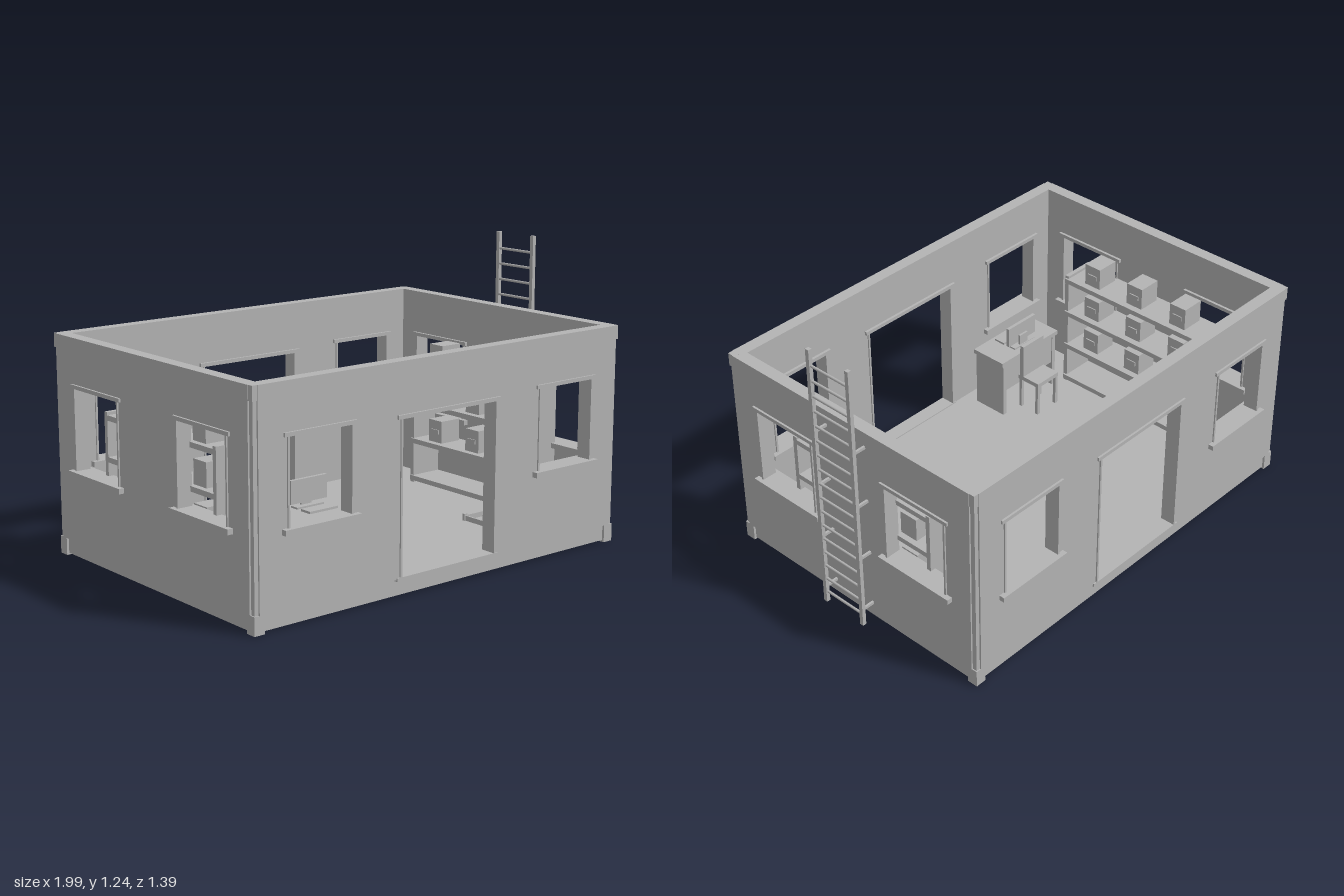
import * as THREE from 'three';

const grey = new THREE.MeshStandardMaterial({ color: 0xb3b3b3 });
grey.name = 'plain grey';

// Box given by its limits on each axis
function box(parent, name, x0, x1, y0, y1, z0, z1) {
  const mesh = new THREE.Mesh(new THREE.BoxGeometry(x1 - x0, y1 - y0, z1 - z0), grey);
  mesh.position.set((x0 + x1) / 2, (y0 + y1) / 2, (z0 + z1) / 2);
  mesh.name = name;
  parent.add(mesh);
  return mesh;
}

function group(parent, name) {
  const g = new THREE.Group();
  g.name = name;
  parent.add(g);
  return g;
}

const FLOOR = 0.075, TOP = 0.93, THICK = 0.055;
const HALF_X = 0.95, HALF_Z = 0.672;

// Wall in its own plane: z = 0 is the inner face, z = THICK the outer face
function wall(parent, name, half, openings) {
  const g = group(parent, name);
  const shape = new THREE.Shape();
  shape.moveTo(-half, FLOOR);
  shape.lineTo(half, FLOOR);
  shape.lineTo(half, TOP);
  shape.lineTo(-half, TOP);
  shape.closePath();
  for (const o of openings) {
    const hole = new THREE.Path();
    hole.moveTo(o.c - o.w, o.y0);
    hole.lineTo(o.c - o.w, o.y1);
    hole.lineTo(o.c + o.w, o.y1);
    hole.lineTo(o.c + o.w, o.y0);
    hole.closePath();
    shape.holes.push(hole);
  }
  const panel = new THREE.Mesh(
    new THREE.ExtrudeGeometry(shape, { depth: THICK, bevelEnabled: false }), grey);
  panel.name = 'wallPanel';
  g.add(panel);

  for (const o of openings) {
    const l = o.c - o.w, r = o.c + o.w;
    const out = THICK + 0.006;
    // Lintel, jambs and sill of each opening
    box(g, 'lintel', l - 0.018, r + 0.018, o.y1 - 0.004, o.y1 + 0.012, -0.012, THICK + 0.009);
    box(g, 'jamb', l - 0.003, l + 0.006, o.y0, o.y1, -0.006, out);
    box(g, 'jamb', r - 0.006, r + 0.003, o.y0, o.y1, -0.006, out);
    if (o.door) box(g, 'threshold', l - 0.018, r + 0.018, 0.068, 0.083, -0.006, out);
    else box(g, 'sill', l - 0.028, r + 0.028, o.y0 - 0.02, o.y0 + 0.002, -0.022, THICK + 0.024);
  }
  return g;
}

const win = (c, w) => ({ c, w, y0: 0.38, y1: 0.728 });

function shelfUnit(parent, name, side) {
  const g = group(parent, name);
  const X = (d) => side * (0.897 - d);   // distance from the inner wall face
  const sbox = (n, a, b, ...rest) => box(g, n, Math.min(X(a), X(b)), Math.max(X(a), X(b)), ...rest);
  for (const s of [-1, 1]) {
    const z = -0.005 + s * 0.37;
    sbox('endPanel', 0, 0.155, FLOOR, 0.645, z - 0.01, z + 0.01);
  }
  for (const y of [0.1, 0.275, 0.45, 0.622]) {
    sbox('shelfBoard', 0, 0.163, y - 0.011, y + 0.011, -0.38, 0.37);
    if (y === 0.1) continue;
    // Storage boxes with a small label plate
    for (const z of [-0.245, -0.005, 0.235]) {
      sbox('storageBox', 0.025, 0.132, y + 0.011, y + 0.112, z - 0.042, z + 0.042);
      sbox('boxLabel', 0.132, 0.137, y + 0.05, y + 0.07, z - 0.024, z + 0.024);
    }
  }
}

function desk(parent) {
  const g = group(parent, 'desk');
  box(g, 'deskTop', -0.70, -0.33, 0.345, 0.365, 0.38, 0.555);
  for (const x of [-0.69, -0.36]) box(g, 'deskSide', x, x + 0.02, FLOOR, 0.345, 0.385, 0.55);
  box(g, 'deskBack', -0.67, -0.36, 0.2, 0.345, 0.39, 0.4);
  // Monitor and keyboard
  box(g, 'screen', -0.602, -0.427, 0.385, 0.478, 0.43, 0.445);
  box(g, 'screenNeck', -0.54, -0.49, 0.365, 0.42, 0.42, 0.43);
  box(g, 'screenFoot', -0.58, -0.45, 0.365, 0.372, 0.415, 0.455);
  box(g, 'keyboard', -0.582, -0.447, 0.365, 0.374, 0.48, 0.535);
  // Chair pushed up to the desk
  const chair = group(parent, 'chair');
  box(chair, 'seat', -0.582, -0.447, 0.225, 0.245, 0.27, 0.39);
  box(chair, 'backrest', -0.582, -0.447, 0.245, 0.405, 0.395, 0.415).position.z = 0.37;
  for (const x of [-0.582, -0.462]) for (const z of [0.272, 0.37])
    box(chair, 'chairLeg', x, x + 0.015, FLOOR, 0.225, z, z + 0.015);
}

function floorFrame(parent) {
  const g = group(parent, 'floorFrame');
  const cx = 0.61, cz = 0.37, hx = 0.117, hz = 0.125, y = 0.1;
  for (const s of [-1, 1]) {
    box(g, 'frameBar', cx + s * hx - 0.004, cx + s * hx + 0.004, FLOOR, y, cz - hz, cz + hz);
    box(g, 'frameBar', cx - hx, cx + hx, FLOOR, y, cz + s * hz - 0.004, cz + s * hz + 0.004);
    for (const t of [-1, 1])
      box(g, 'frameCorner', cx + s * hx - 0.009, cx + s * hx + 0.009, FLOOR, y + 0.008,
        cz + t * hz - 0.007, cz + t * hz + 0.007);
  }
}

function ladder(parent) {
  const g = group(parent, 'ladder');
  const x = 1.008;
  for (const s of [-1, 1]) {
    const z = s * 0.105;
    box(g, 'ladderRail', x - 0.007, x + 0.01, 0.015, 1.24, z - 0.009, z + 0.009);
    for (const y of [0.09, 0.35, 0.605, 0.862])
      box(g, 'wallBracket', 0.945, x - 0.005, y - 0.006, y + 0.006, z - 0.005, z + 0.005);
  }
  for (let i = 0; i < 17; i++) {
    const rung = new THREE.Mesh(new THREE.CylinderGeometry(0.006, 0.006, 0.2, 10), grey);
    rung.rotation.x = Math.PI / 2;
    rung.position.set(x, 0.065 + i * 0.0688, 0);
    rung.name = 'rung';
    g.add(rung);
  }
}

export function createModel() {
  const model = new THREE.Group();
  model.name = 'guardCabin';
  const body = group(model, 'cabin');
  body.position.x = -0.018;

  // Floor slab, recessed under the walls
  box(body, 'floor', -HALF_X + 0.012, HALF_X - 0.012, 0.008, FLOOR + 0.003, -HALF_Z + 0.012, HALF_Z - 0.012);

  // Four walls
  const longOpenings = [win(-0.641, 0.152), win(0.641, 0.152),
    { c: 0, w: 0.25, y0: 0.08, y1: 0.712, door: true }];
  const shortOpenings = [win(-0.36, 0.16), win(0.36, 0.16)];
  for (const s of [1, -1]) {
    const long = wall(body, s > 0 ? 'frontWall' : 'backWall', HALF_X - 0.025, longOpenings);
    long.rotation.y = s > 0 ? 0 : Math.PI;
    long.position.z = s * (HALF_Z - THICK);
    const short = wall(body, s > 0 ? 'leftWall' : 'rightWall', HALF_Z - 0.027, shortOpenings);
    short.rotation.y = s * Math.PI / 2;
    short.position.x = s * (HALF_X - THICK);
  }

  // Corner posts, slightly set back, with feet and caps
  for (const sx of [-1, 1]) for (const sz of [-1, 1]) {
    const block = (name, size, inset, y0, y1) => {
      const x = sx * (HALF_X - inset - size / 2), z = sz * (HALF_Z - inset - size / 2);
      box(body, name, x - size / 2, x + size / 2, y0, y1, z - size / 2, z + size / 2);
    };
    block('cornerPost', 0.045, 0.007, FLOOR, TOP);
    block('cornerFoot', 0.047, 0.002, 0, FLOOR);
    block('cornerCap', 0.03, 0.002, 0.872, TOP);
  }

  // Furniture
  shelfUnit(body, 'leftShelves', 1);
  shelfUnit(body, 'rightShelves', -1);
  desk(body);
  floorFrame(body);
  ladder(body);
  return model;
}
